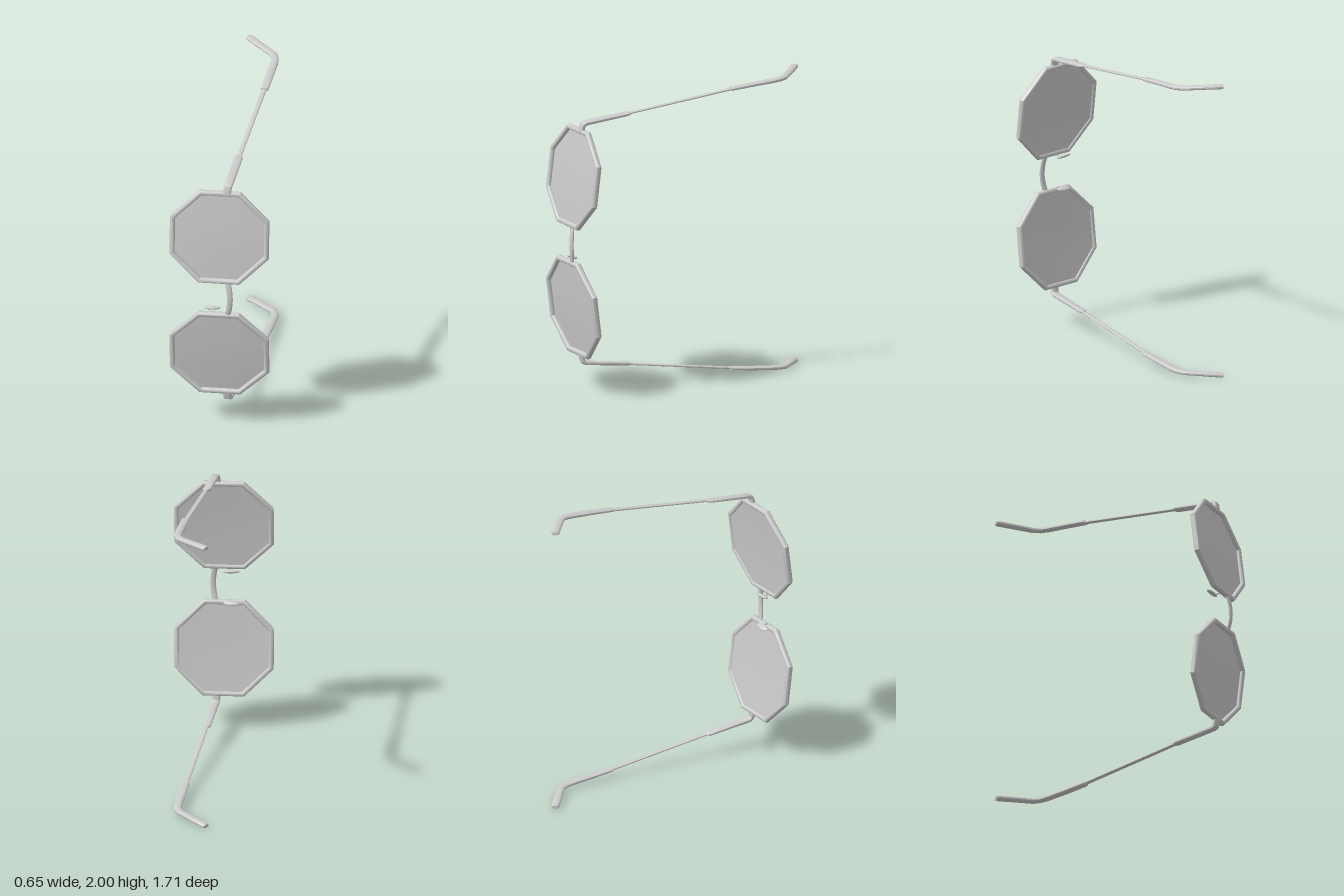
import * as THREE from 'three';
import { toCreasedNormals } from 'three/addons/utils/BufferGeometryUtils.js';

const V = (x, y, z) => new THREE.Vector3(x, y, z);
const material = new THREE.MeshStandardMaterial({ color: 0xcccccc, side: THREE.DoubleSide });
const MID = 1, LENS_OFFSET = 0.436, TILT = 0.123, YAW = 0.02;

// Sweeps a rounded section along mitred stations [x, y, z, width, height].
// Height runs along ref, width across it; power below 1 squares the section.
function sweep(stations, ref, { closed = false, power = 1, sides = 12 } = {}) {
  const pts = stations.map((s) => V(s[0], s[1], s[2]));
  const n = pts.length, pos = [], idx = [];
  const bulge = (c) => Math.sign(c) * Math.abs(c) ** power;
  pts.forEach((p, i) => {
    const prev = closed ? pts[(i + n - 1) % n] : pts[Math.max(i - 1, 0)];
    const next = closed ? pts[(i + 1) % n] : pts[Math.min(i + 1, n - 1)];
    const a = p.clone().sub(prev).normalize(), b = next.clone().sub(p).normalize();
    const t = a.clone().add(b).normalize();
    const miter = 1 / Math.max(t.dot(a.lengthSq() ? a : b), 0.6);
    const side = t.clone().cross(ref).normalize();
    const up = side.clone().cross(t);
    const bend = b.clone().sub(a);
    const sideBend = Math.abs(bend.dot(side)) > Math.abs(bend.dot(up));
    for (let k = 0; k < sides; k++) {
      const ang = ((k + 0.5) / sides) * Math.PI * 2;
      const w = bulge(Math.cos(ang)) * stations[i][3] / 2 * (sideBend ? miter : 1);
      const h = bulge(Math.sin(ang)) * stations[i][4] / 2 * (sideBend ? 1 : miter);
      const q = p.clone().addScaledVector(side, w).addScaledVector(up, h);
      pos.push(q.x, q.y, q.z);
    }
  });
  for (let i = 0; i < (closed ? n : n - 1); i++) {
    for (let k = 0; k < sides; k++) {
      const k2 = (k + 1) % sides, j = (i + 1) % n;
      const a = i * sides + k, b = i * sides + k2, c = j * sides + k2, d = j * sides + k;
      idx.push(a, c, b, a, d, c);
    }
  }
  // end caps
  if (!closed) {
    const last = (n - 1) * sides;
    for (let k = 1; k < sides - 1; k++) {
      idx.push(0, k, k + 1, last, last + k + 1, last + k);
    }
  }
  const g = new THREE.BufferGeometry();
  g.setAttribute('position', new THREE.Float32BufferAttribute(pos, 3));
  g.setIndex(idx);
  return toCreasedNormals(g, 0.65);
}

function add(group, name, geometry) {
  const mesh = new THREE.Mesh(geometry, material);
  mesh.name = name;
  group.add(mesh);
  return mesh;
}

// Everything on one side of the bridge; s = 1 upper, -1 lower
function createSide(s) {
  const group = new THREE.Group();
  group.name = s > 0 ? 'upperSide' : 'lowerSide';
  const place = (list) => list.map(([x, v, ...rest]) => [x, MID + s * v, ...rest]);

  // octagonal rim in a slightly wrapped plane
  const R = 0.308 / Math.cos(Math.PI / 8);
  const rim = [];
  for (let i = 0; i < 8; i++) {
    const a = (i + 0.5) * Math.PI / 4;
    const x = R * Math.cos(a), v = R * Math.sin(a);
    rim.push([x, LENS_OFFSET + v, 0.79 - TILT * v - YAW * x, 0.034, 0.042]);
  }
  add(group, 'rim', sweep(place(rim), V(YAW, s * TILT, 1).normalize(), { closed: true, power: 0.8 }));

  // thin, gently domed lens
  const lens = new THREE.LatheGeometry(
    [[0, -0.004], [0.16, -0.006], [R, -0.012], [R, -0.004], [0.16, 0.004], [0, 0.007]]
      .map(([r, h]) => new THREE.Vector2(r, h)), 8, Math.PI / 8);
  lens.rotateX(Math.PI / 2).rotateX(-s * Math.atan(TILT)).rotateY(YAW);
  lens.translate(0, MID + s * LENS_OFFSET, 0.79);
  add(group, 'lens', toCreasedNormals(lens, 0.5));

  // end piece wrapping from the rim into the temple
  add(group, 'endPiece', sweep(place([
    [0.045, 0.745, 0.757, 0.058, 0.03],
    [0.047, 0.775, 0.753, 0.054, 0.03],
    [0.05, 0.795, 0.747, 0.054, 0.028],
    [0.053, 0.805, 0.73, 0.055, 0.028],
    [0.06, 0.813, 0.66, 0.055, 0.026],
    [0.079, 0.838, 0.44, 0.055, 0.022],
    [0.081, 0.841, 0.42, 0.03, 0.014],
  ]), V(0, s * 0.7, 0.7).normalize(), { power: 0.6 }));

  // slim temple arm
  add(group, 'temple', sweep(place([
    [0.08, 0.839, 0.44, 0.03, 0.013],
    [0.15, 0.936, -0.29, 0.032, 0.015],
  ]), V(0, 1, 0), { power: 0.7 }));

  // sleeve bending behind the ear
  add(group, 'templeTip', sweep(place([
    [0.151, 0.936, -0.275, 0.052, 0.022],
    [0.163, 0.95, -0.42, 0.052, 0.026],
    [0.174, 0.962, -0.57, 0.052, 0.028],
    [0.172, 0.966, -0.62, 0.05, 0.028],
    [0.155, 0.97, -0.665, 0.05, 0.028],
    [0.07, 0.977, -0.745, 0.05, 0.028],
    [-0.02, 0.984, -0.828, 0.054, 0.03],
    [-0.034, 0.985, -0.84, 0.04, 0.024],
  ]), V(0, 1, 0), { power: 0.75 }));

  // nose pad on a short bent wire
  const pad = new THREE.SphereGeometry(1, 20, 12);
  pad.scale(0.055, 0.011, 0.024).rotateX(s * 0.35).rotateZ(-s * 0.05);
  pad.translate(-0.05, MID + s * 0.111, 0.775);
  add(group, 'nosePad', pad);
  const wire = new THREE.CatmullRomCurve3(place([
    [-0.03, 0.125, 0.825], [-0.035, 0.104, 0.815], [-0.045, 0.104, 0.795], [-0.05, 0.112, 0.78],
  ]).map((p) => V(...p)));
  add(group, 'nosePadArm', new THREE.TubeGeometry(wire, 14, 0.005, 8));
  return group;
}

export function createModel() {
  const model = new THREE.Group();
  model.name = 'eyeglasses';
  model.add(createSide(1), createSide(-1));

  // arched bridge between the rims
  const bridge = [];
  for (let i = 0; i <= 12; i++) {
    const u = i / 6 - 1;
    bridge.push([0.076 - 0.02 * u * u, MID + 0.13 * u, 0.844 - 0.015 * u * u, 0.038, 0.02]);
  }
  add(model, 'bridge', sweep(bridge, V(0, 0, 1), { power: 0.8 }));
  return model;
}
